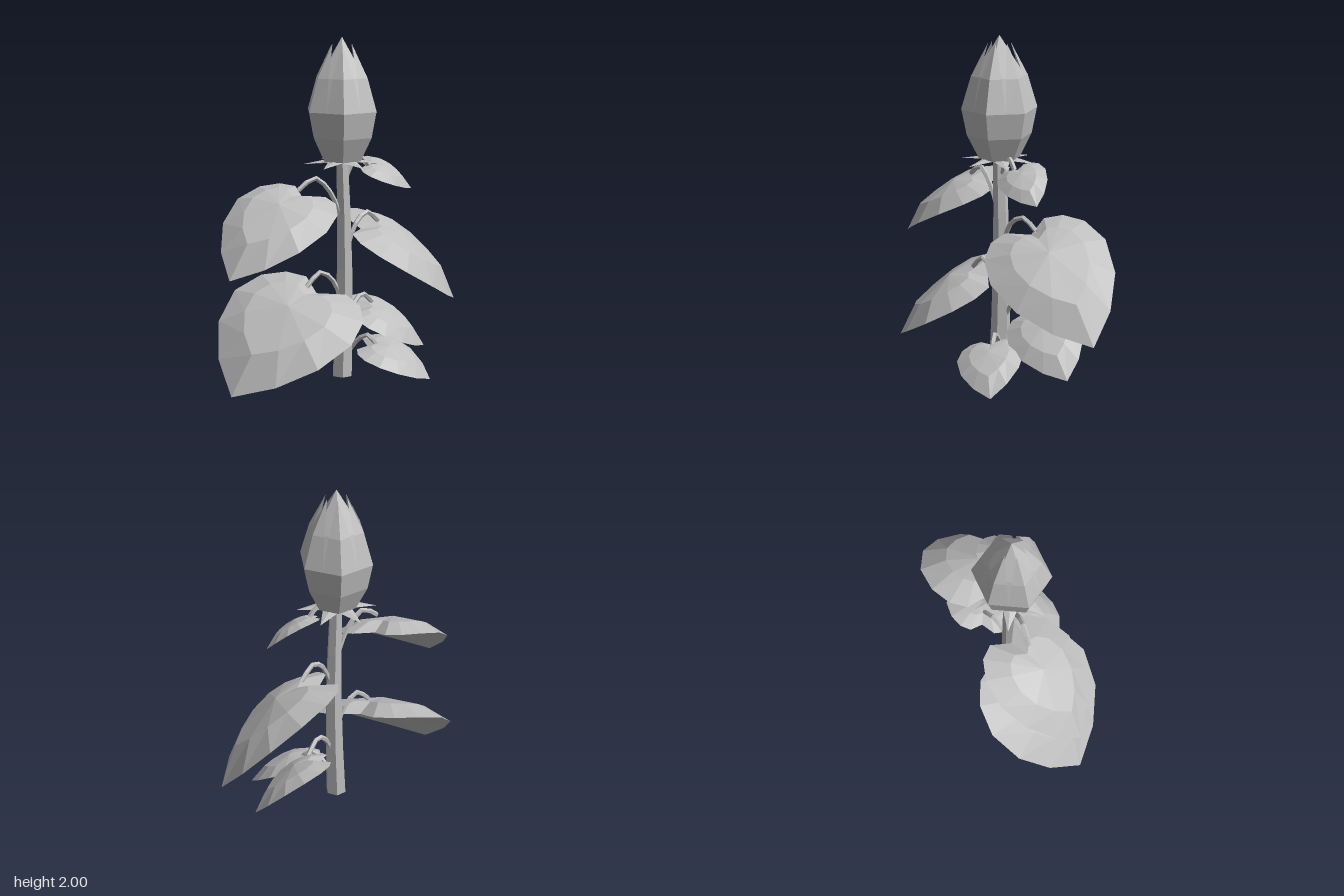
import * as THREE from 'three';

const V = (p) => new THREE.Vector3(...p);

function facetGeometry(points, faces) {
  const geo = new THREE.BufferGeometry();
  geo.setAttribute('position', new THREE.Float32BufferAttribute(points.flatMap((p) => p.toArray()), 3));
  geo.setIndex(faces);
  const flat = geo.toNonIndexed();
  flat.computeVertexNormals();
  return flat;
}

// Half of the heart outline: a runs along the leaf to the tip, b across it
const HALF = [[1, 0], [0.74, 0.5], [0.4, 0.87], [0.02, 1.02], [-0.28, 0.9], [-0.45, 0.65], [-0.5, 0.35]];
const OUTLINE = [...HALF, [-0.36, 0], ...HALF.slice(1).reverse().map(([a, b]) => [a, -b])];

// Drooping leaf with a domed top and a nearly flat underside; sideA and sideB lie on its two edges
function leafGeometry(tip, sideA, sideB) {
  const mid = V(sideA).add(V(sideB)).multiplyScalar(0.5);
  const along = V(tip).sub(mid);
  const across = V(sideB).sub(mid);
  across.addScaledVector(along, -across.dot(along) / along.lengthSq());
  const up = along.clone().cross(across).normalize();
  if (up.y < 0) { up.negate(); across.negate(); }
  const size = along.length();
  const at = (a, b, lift) => mid.clone().addScaledVector(along, a).addScaledVector(across, b)
    .addScaledVector(up, size * (lift - 0.2 * (a * a - a)));
  const n = OUTLINE.length;
  const points = [
    ...OUTLINE.map(([a, b]) => at(a, b, 0)),
    ...OUTLINE.map(([a, b]) => at(a * 0.6, b * 0.6, 0.12)),
    at(0, 0, 0.17), at(0, 0, 0.03),
  ];
  const faces = [];
  for (let i = 0; i < n; i++) {
    const j = (i + 1) % n;
    faces.push(i, j, n + j, i, n + j, n + i); // sloping rim
    faces.push(n + i, n + j, 2 * n);          // crown
    faces.push(j, i, 2 * n + 1);              // underside
  }
  return facetGeometry(points, faces);
}

// tip, near edge, far edge, and the path of the leaf stalk
const LEAVES = [
  { name: 'upperRightLeaf', tip: [-0.8, 0.69, 0.08], a: [-0.38, 0.85, 0.27], b: [-0.4, 1.16, -0.34],
    stalk: [[-0.01, 0.94, 0], [-0.09, 1.11, 0], [-0.19, 1.2, -0.01], [-0.29, 1.14, -0.02]] },
  { name: 'lowerRightLeaf', tip: [-0.81, 0.03, 0.1], a: [-0.3, 0.23, 0.41], b: [-0.41, 0.6, -0.38],
    stalk: [[0, 0.42, 0], [-0.07, 0.58, 0], [-0.16, 0.645, 0], [-0.25, 0.57, 0]] },
  { name: 'upperLeftLeaf', tip: [0.81, 0.36, 0.01], a: [0.33, 0.58, 0.29], b: [0.41, 0.92, -0.37],
    stalk: [[0.02, 0.75, 0], [0.09, 0.91, 0], [0.18, 0.965, -0.02], [0.27, 0.9, -0.04]] },
  { name: 'middleLeftLeaf', tip: [0.59, 0.09, 0], a: [0.27, 0.19, 0.13], b: [0.35, 0.41, -0.27],
    stalk: [[0.02, 0.3, 0], [0.09, 0.42, -0.02], [0.16, 0.465, -0.04], [0.25, 0.4, -0.07]] },
  { name: 'lowestLeaf', tip: [0.36, 0.01, 0.38], a: [0.03, 0.12, 0.35], b: [0.29, 0.21, 0.07],
    stalk: [[0.01, 0.1, 0], [0.05, 0.21, 0.06], [0.09, 0.26, 0.12], [0.13, 0.2, 0.17]] },
  { name: 'topLeaf', tip: [0.42, 1.1, 0.09], a: [0.2, 1.15, 0.16], b: [0.26, 1.29, -0.09],
    stalk: [[0, 1.14, 0], [0.05, 1.26, 0.01], [0.1, 1.31, 0.02], [0.16, 1.25, 0.03]] },
];

// Folded pointed petal over one corner of the bud
function petalGeometry(turn) {
  const polar = (r, y, deg) => {
    const t = turn + THREE.MathUtils.degToRad(deg);
    return new THREE.Vector3(r * Math.cos(t), y, r * Math.sin(t));
  };
  const points = [
    polar(0.192, 1.58, -30), polar(0.222, 1.58, 0), polar(0.192, 1.58, 30),
    polar(0.143, 1.77, -25), polar(0.164, 1.77, 0), polar(0.143, 1.77, 25),
    polar(0.064, 1.96, 0),
  ];
  return facetGeometry(points, [0, 3, 1, 1, 3, 4, 1, 4, 2, 2, 4, 5, 3, 6, 4, 4, 6, 5]);
}

export function createModel() {
  const group = new THREE.Group();
  const plant = new THREE.MeshStandardMaterial({ color: 0xbfbfbf, flatShading: true, side: THREE.DoubleSide });
  plant.name = 'plantGrey';
  const add = (geo, name, parent = group) => {
    const mesh = new THREE.Mesh(geo, plant);
    mesh.name = name;
    parent.add(mesh);
  };

  // Tapered stem with a slight bow
  const stem = new THREE.CylinderGeometry(0.038, 0.063, 1.3, 6, 4);
  stem.rotateY(Math.PI / 6).translate(0, 0.65, 0);
  const pos = stem.attributes.position;
  for (let i = 0; i < pos.count; i++) {
    pos.setX(i, pos.getX(i) - 0.007 + 0.017 * Math.sin((Math.PI * pos.getY(i)) / 1.3));
  }
  add(stem, 'stem');

  // Leaves and their arched stalks
  for (const l of LEAVES) {
    add(leafGeometry(l.tip, l.a, l.b), l.name);
    const curve = new THREE.CatmullRomCurve3(l.stalk.map(V));
    add(new THREE.TubeGeometry(curve, 7, 0.015, 5), l.name + 'Stalk');
  }

  // Bud: six-sided core, outer petals and sepals
  const bud = new THREE.Group();
  bud.name = 'bud';
  bud.position.x = -0.008;
  group.add(bud);
  const profile = [[0, 1.285], [0.12, 1.29], [0.19, 1.43], [0.22, 1.58], [0.145, 1.77], [0, 2]]
    .map(([r, y]) => new THREE.Vector2(r, y));
  add(new THREE.LatheGeometry(profile, 6, Math.PI / 2), 'budCore', bud);
  for (let i = 0; i < 6; i++) {
    const turn = (i * Math.PI) / 3;
    add(petalGeometry(turn), 'petal', bud);
    const sepal = new THREE.ConeGeometry(0.055, 0.17, 4);
    sepal.scale(1, 1, 0.25).rotateX(Math.PI / 2 + 0.12).translate(0, 1.278, 0.145).rotateY(turn);
    add(sepal, 'sepal', bud);
  }
  return group;
}
